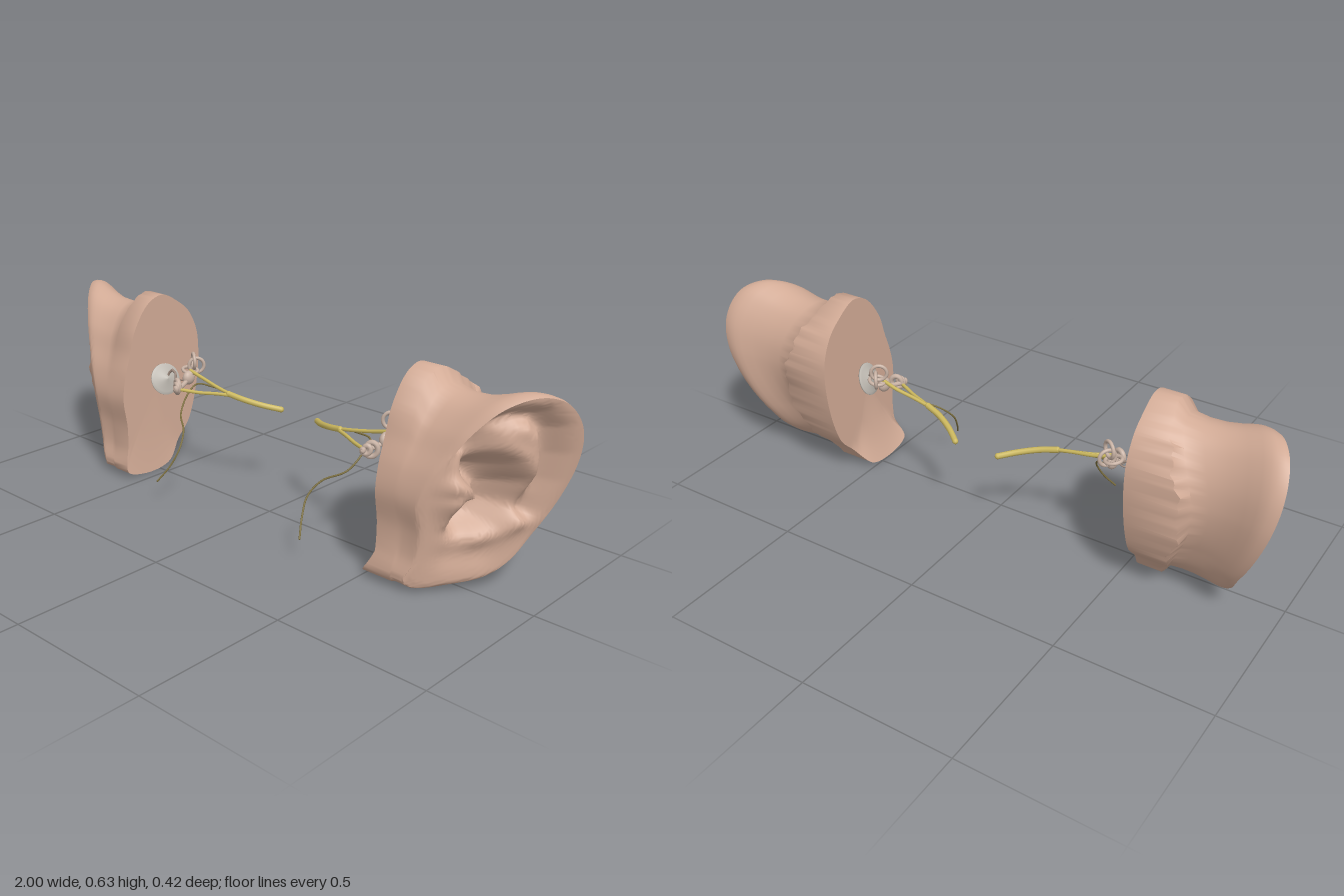
import * as THREE from 'three';
import { toCreasedNormals } from 'three/addons/utils/BufferGeometryUtils.js';

const mat = (color) => new THREE.MeshStandardMaterial({ color, side: THREE.DoubleSide });
const skin = mat(0xd2ab96), bone = mat(0xc8b2a4), nerveYellow = mat(0xcdb95f),
  thinNerve = mat(0x7d7040), drumGrey = mat(0xbdb8b0), darkBone = mat(0x9a867a);
const { lerp, clamp, smoothstep } = THREE.MathUtils;

// Outlines as [z, y], running top, back, bottom, front
const closed = (pts) => new THREE.CatmullRomCurve3(pts.map(([z, y]) => new THREE.Vector3(0, y, z)), true, 'centripetal');
const earOutline = closed([
  [-0.05, 0.615], [-0.11, 0.6], [-0.155, 0.555], [-0.187, 0.49], [-0.2, 0.41], [-0.195, 0.33],
  [-0.173, 0.235], [-0.14, 0.155], [-0.09, 0.08], [-0.03, 0.035], [0.05, 0.022], [0.13, 0.018],
  [0.148, 0.04], [0.134, 0.11], [0.134, 0.19], [0.148, 0.29], [0.135, 0.37], [0.108, 0.44],
  [0.078, 0.51], [0.02, 0.585]]);
const blockOutline = closed([
  [-0.045, 0.63], [-0.12, 0.59], [-0.165, 0.55], [-0.2, 0.48], [-0.209, 0.41], [-0.203, 0.32],
  [-0.182, 0.22], [-0.15, 0.14], [-0.1, 0.085], [-0.05, 0.018], [0.03, 0.0], [0.125, 0.014],
  [0.147, 0.03], [0.136, 0.11], [0.134, 0.19], [0.147, 0.29], [0.135, 0.37], [0.112, 0.44],
  [0.085, 0.525], [0.02, 0.61]]);
const CY = 0.3, N = 120;

// Ridges (positive) and hollows (negative) of the ear's face: path, height, width
const relief = [
  { path: [[0.05, 0.47], [0.03, 0.525], [-0.02, 0.55], [-0.07, 0.545], [-0.11, 0.5], [-0.132, 0.42], [-0.132, 0.34], [-0.115, 0.25]], h: -0.05, w: 0.027 },
  { path: [[0.045, 0.45], [0.02, 0.4]], h: -0.06, w: 0.045 },
  { path: [[0.0, 0.46], [-0.045, 0.425], [-0.09, 0.36], [-0.105, 0.29], [-0.09, 0.22]], h: 0.02, w: 0.028 },
  { path: [[-0.005, 0.36], [-0.04, 0.32], [-0.045, 0.275], [-0.015, 0.245], [0.025, 0.235]], h: -0.115, w: 0.048 },
  { path: [[0.09, 0.345], [0.045, 0.335]], h: 0.03, w: 0.028 },
  { path: [[0.085, 0.29], [0.07, 0.235]], h: 0.03, w: 0.028 },
  { path: [[0.0, 0.17], [-0.06, 0.195]], h: 0.015, w: 0.03 },
  { path: [[0.05, 0.12], [-0.01, 0.12]], h: -0.015, w: 0.045 },
];

function pathDistance(z, y, path) {
  let best = Infinity;
  for (let i = 0; i + 1 < path.length; i++) {
    const [az, ay] = path[i], dz = path[i + 1][0] - az, dy = path[i + 1][1] - ay;
    const k = clamp(((z - az) * dz + (y - ay) * dy) / (dz * dz + dy * dy), 0, 1);
    best = Math.min(best, Math.hypot(z - az - k * dz, y - ay - k * dy));
  }
  return best;
}

// 0 at the front edge, 1 at the back edge
const backness = (z) => Math.pow(clamp((0.15 - z) / 0.35, 0, 1), 0.8);
// Slanted sheet through the rim, with a fuller lobe
const rimX = (z, y) => lerp(0.652 + 0.16 * y, 0.885 + 0.265 * y, backness(z))
  + 0.03 * backness(z) * (1 - smoothstep(y, 0.02, 0.18));
const faceX = (z, y) => relief.reduce(
  (x, r) => x + r.h * Math.exp(-((pathDistance(z, y, r.path) / r.w) ** 2)), rimX(z, y));

// Ear on its block: closed rings from the inner cap, over the rim, to the middle of the face
function earGeometry(side) {
  const rings = [];
  const ring = (outline, scaleOf, xOf) => {
    const row = [];
    for (let j = 0; j < N; j++) {
      const p = outline.getPoint(j / N), s = scaleOf(p);
      const z = p.z * s, y = CY + (p.y - CY) * s;
      row.push([xOf(z, y, p, j), y, z]);
    }
    rings.push(row);
  };
  const even = (s) => () => s;
  const flare = side > 0 ? 0.045 : 0.01;
  const innerX = (z, y) => 0.548 - flare * (1 - smoothstep(y, 0.0, 0.1));
  const blockEnd = (p) => 0.61 + 0.11 * backness(p.z) * Math.sin(Math.PI * clamp(p.y / 0.66, 0, 1));
  const roughEnd = (z, y, p, j) => blockEnd(p)
    + backness(p.z) * (0.007 * Math.sin(j * 0.6) + 0.006 * Math.sin(j * 1.7));
  // neck behind the ear, shallower under the lobe
  const inset = (k) => (p) => 1 - k * backness(p.z) * lerp(0.35, 1, smoothstep(p.y, 0.02, 0.2));
  const between = (k) => (z, y, p) => lerp(blockEnd(p), rimX(p.z, p.y), k);

  for (const s of [0, 0.5, 0.85, 1]) ring(blockOutline, even(s), innerX);
  ring(blockOutline, even(1), roughEnd);
  const neck = [[0.13, 0.1], [0.18, 0.28], [0.165, 0.48], [0.1, 0.65], [0.035, 0.77], [0.006, 0.84], [0, 0.89]];
  for (const [k, x] of neck) ring(earOutline, inset(k), between(x));
  ring(earOutline, even(0.993), between(0.95));
  ring(earOutline, even(0.977), between(0.985));
  for (let i = 0; i <= 38; i++) ring(earOutline, even(0.95 * (1 - i / 38)), faceX);

  const index = [];
  for (let i = 0; i + 1 < rings.length; i++) for (let j = 0; j < N; j++) {
    const k = (j + 1) % N, a = i * N + j, b = a + N, c = i * N + k, d = c + N;
    if (side > 0) index.push(a, b, c, b, d, c);
    else index.push(a, c, b, b, c, d);
  }
  const geo = new THREE.BufferGeometry();
  geo.setAttribute('position', new THREE.Float32BufferAttribute(
    rings.flat().flatMap(([x, y, z]) => [x * side, y, z]), 3));
  geo.setIndex(index);
  return toCreasedNormals(geo, 1.0);
}

function buildSide(side) {
  const g = new THREE.Group();
  g.name = side > 0 ? 'leftEar' : 'rightEar';
  const add = (name, geo, material, pos = [0, 0, 0], rot = [0, 0, 0]) => {
    const m = new THREE.Mesh(geo, material);
    m.name = name;
    m.position.set(pos[0] * side, pos[1], pos[2]);
    m.rotation.set(rot[0], rot[1] * side, rot[2] * side);
    g.add(m);
  };
  const tube = (name, pts, r, material, seg = 32) => {
    const curve = new THREE.CatmullRomCurve3(pts.map(([x, y, z]) => new THREE.Vector3(x * side, y, z)));
    add(name, new THREE.TubeGeometry(curve, seg, r, 8), material);
    // rounded ends
    for (const t of [0, 1]) {
      const p = curve.getPoint(t);
      add(name + 'End', new THREE.SphereGeometry(r, 8, 6), material, [p.x * side, p.y, p.z]);
    }
  };

  add('outerEar', earGeometry(side), skin);

  // Eardrum: a shallow tilted cone
  const drum = new THREE.LatheGeometry([[0, 0.018], [0.02, 0.01], [0.045, 0.002], [0.055, 0], [0.055, -0.004], [0.04, -0.004], [0, 0.012]]
    .map(([x, y]) => new THREE.Vector2(x, y)), 28);
  add('eardrum', drum, drumGrey, [0.518, 0.337, -0.022], [0, 0.2, Math.PI / 2 - 0.35]);

  // Small hearing bones
  tube('hammer', [[0.515, 0.335, -0.022], [0.507, 0.36, -0.03], [0.497, 0.372, -0.035]], 0.004, darkBone, 12);
  tube('anvil', [[0.497, 0.372, -0.035], [0.482, 0.363, -0.035], [0.475, 0.345, -0.03]], 0.004, darkBone, 12);
  for (const s of [-1, 1])
    tube('stirrup', [[0.475, 0.345, -0.03], [0.462, 0.345 + 0.003 * s, -0.03 + 0.01 * s], [0.445, 0.345, -0.03 + 0.006 * s]], 0.0025, darkBone, 10);

  // Balance organ: vestibule with three looped canals
  const vestibule = new THREE.SphereGeometry(0.019, 16, 12);
  vestibule.scale(0.9, 1.3, 1.3);
  add('vestibule', vestibule, bone, [0.43, 0.355, -0.05]);
  const loop = new THREE.TorusGeometry(0.026, 0.006, 8, 28);
  add('uprightCanal', loop, bone, [0.43, 0.41, -0.075], [0, 0.6, 0]);
  add('rearCanal', loop, bone, [0.432, 0.39, -0.09], [0, -0.9, 0]);
  add('levelCanal', loop, bone, [0.443, 0.375, -0.07], [Math.PI / 2, 0.2, 0]);

  // Cochlea: a spiral of shrinking coils
  const coil = [];
  for (let i = 0; i <= 30; i++) {
    const a = (i / 30) * Math.PI * 5, r = 0.026 * (1 - i / 34);
    coil.push([0.428 - r * Math.cos(a) * 0.8 - i * 0.0007, 0.337 + r * Math.sin(a), 0.004 + i * 0.001 + r * 0.4 * Math.cos(a)]);
  }
  tube('cochlea', coil, 0.0085, bone, 110);
  tube('cochleaNeck', [[0.43, 0.35, -0.045], [0.42, 0.34, -0.015], [0.41, 0.337, 0.012]], 0.008, bone, 12);

  // Nerves
  tube('balanceNerve', [[0.43, 0.378, -0.06], [0.37, 0.362, -0.063], [0.3, 0.348, -0.06], [0.235, 0.336, -0.062]], 0.006, nerveYellow);
  tube('hearingNerve', [[0.405, 0.333, 0.015], [0.34, 0.33, -0.015], [0.28, 0.333, -0.042], [0.225, 0.333, -0.065]], 0.006, nerveYellow);
  tube('mainNerve', [[0.245, 0.337, -0.06], [0.19, 0.326, -0.075], [0.13, 0.312, -0.105], [0.08, 0.3, -0.142]], 0.01, nerveYellow);
  tube('faceNerve', [[0.3, 0.345, -0.06], [0.38, 0.345, -0.04], [0.385, 0.315, 0.0], [0.365, 0.265, 0.05], [0.305, 0.23, 0.095],
    [0.283, 0.185, 0.135], [0.293, 0.13, 0.17], [0.317, 0.08, 0.207]], 0.003, thinNerve, 60);
  return g;
}

export function createModel() {
  const model = new THREE.Group();
  model.name = 'earPair';
  model.add(buildSide(1), buildSide(-1));
  return model;
}
